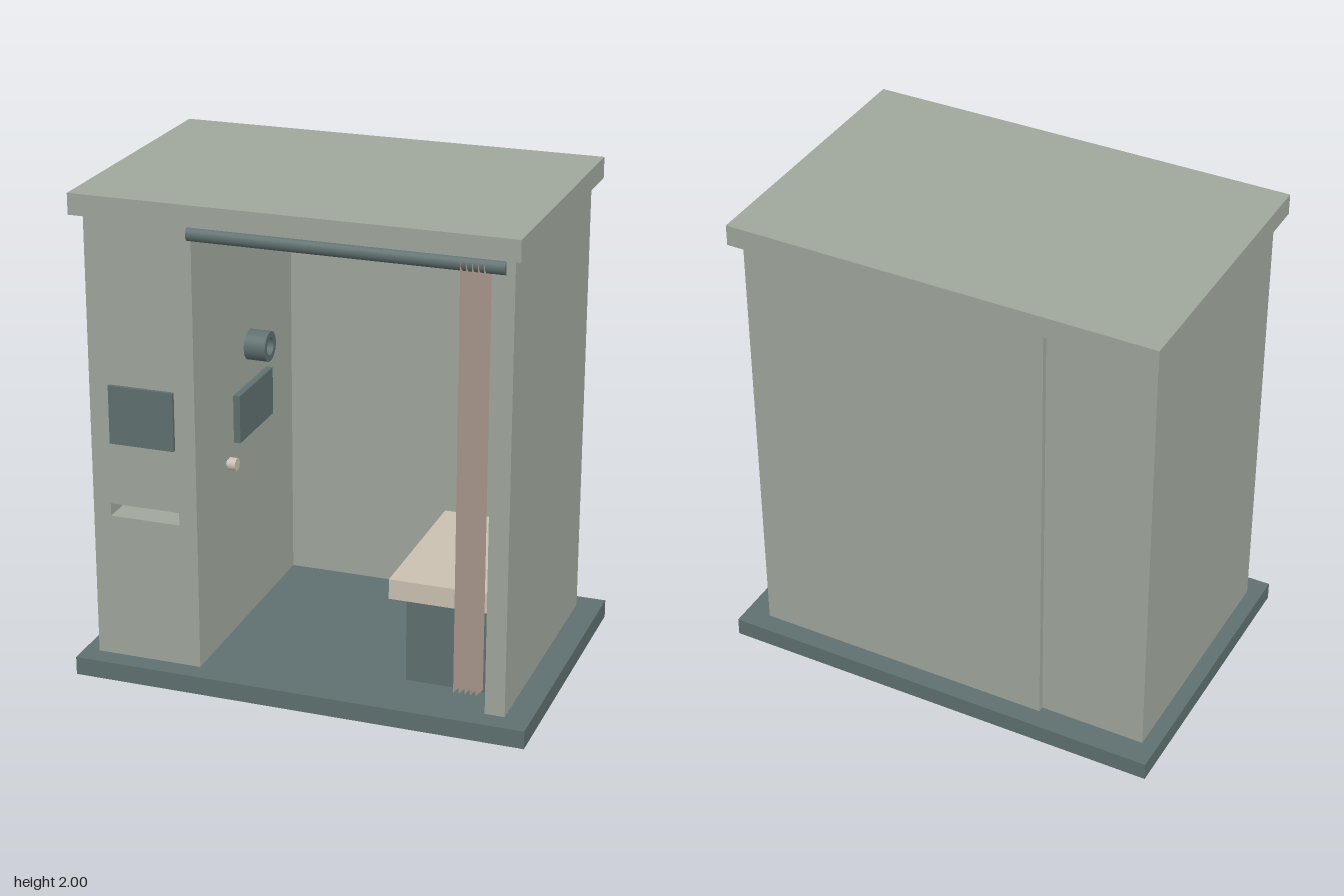
import * as THREE from 'three';

const mat = (name, color, extra = {}) => Object.assign(new THREE.MeshStandardMaterial({ color, ...extra }), { name });

export function createModel() {
  const booth = new THREE.Group();
  booth.name = 'booth';
  const panel = mat('panelGrey', 0x9fa69b);
  const dark = mat('darkSlate', 0x5f6f6f);
  const cream = mat('cream', 0xc9c0b1);
  const cloth = mat('curtainCloth', 0xb5a398, { side: THREE.DoubleSide, flatShading: true });

  const add = (name, geometry, material) => {
    const mesh = new THREE.Mesh(geometry, material);
    mesh.name = name;
    booth.add(mesh);
    return mesh;
  };
  // Box given by its limits along each axis
  const box = (name, material, x0, x1, y0, y1, z0, z1) => {
    const mesh = add(name, new THREE.BoxGeometry(x1 - x0, y1 - y0, z1 - z0), material);
    mesh.position.set((x0 + x1) / 2, (y0 + y1) / 2, (z0 + z1) / 2);
    return mesh;
  };
  // Cylinder lying along x
  const rod = (name, material, x0, x1, y, z, r) => {
    const mesh = add(name, new THREE.CylinderGeometry(r, r, x1 - x0, 24), material);
    mesh.rotation.z = -Math.PI / 2;
    mesh.position.set((x0 + x1) / 2, y, z);
    return mesh;
  };

  // Shell
  const bottom = 0.075, top = 1.915, front = 0.53, back = -0.51;
  box('base', dark, -0.933, 0.933, 0, bottom, -0.617, 0.617);
  box('roof', panel, -0.905, 0.865, top, 2, -0.587, 0.587);
  box('sideWall', panel, 0.75, 0.83, bottom, top, back, front);
  box('backWall', panel, -0.43, 0.83, bottom, top, back - 0.025, back);

  // Machine cabinet, with a delivery slot cut into its front
  const slotDepth = 0.15;
  box('cabinet', panel, -0.87, -0.43, bottom, top, back, front - slotDepth);
  const face = new THREE.Shape([[-0.87, bottom], [-0.43, bottom], [-0.43, top], [-0.87, top]]
    .map(([x, y]) => new THREE.Vector2(x, y)));
  face.holes.push(new THREE.Path([[-0.797, 0.677], [-0.797, 0.73], [-0.505, 0.73], [-0.505, 0.677]]
    .map(([x, y]) => new THREE.Vector2(x, y))));
  const cabinetFront = add('cabinetFront',
    new THREE.ExtrudeGeometry(face, { depth: slotDepth, bevelEnabled: false }), panel);
  cabinetFront.position.z = front - slotDepth;
  box('frontDisplay', dark, -0.785, -0.515, 0.99, 1.23, front, front + 0.015);

  // Fittings on the inner cabinet wall
  box('innerScreen', dark, -0.43, -0.402, 0.89, 1.09, -0.22, 0.14);
  const ring = [[0.036, 0], [0.062, 0], [0.062, 0], [0.062, 0.09], [0.062, 0.09],
    [0.036, 0.09], [0.036, 0.09], [0.036, 0]].map(([r, y]) => new THREE.Vector2(r, y));
  const lens = add('cameraTube', new THREE.LatheGeometry(ring, 32), dark);
  lens.rotation.z = -Math.PI / 2;
  lens.position.set(-0.43, 1.248, -0.04);
  rod('buttonStem', cream, -0.43, -0.42, 0.828, 0.21, 0.015);
  rod('button', cream, -0.42, -0.388, 0.828, 0.21, 0.026);

  // Bench with cushion and backrest
  box('benchBase', dark, 0.375, 0.75, bottom, 0.42, -0.34, 0.36);
  box('benchCushion', cream, 0.305, 0.75, 0.42, 0.503, -0.35, 0.37);
  box('backrest', cream, 0.725, 0.75, 0.503, 0.98, -0.35, 0.37);

  // Curtain rail and gathered curtain: a pleated sheet
  rod('curtainRail', dark, -0.445, 0.795, 1.87, 0.518, 0.029);
  const pleats = 10, height = 1.725;
  const sheet = new THREE.PlaneGeometry(0.112, height, pleats, 1);
  const p = sheet.attributes.position;
  for (let i = 0; i < p.count; i++) p.setZ(i, (i % (pleats + 1)) % 2 ? 0.03 : -0.03);
  sheet.computeVertexNormals();
  const curtain = add('curtain', sheet, cloth);
  curtain.position.set(0.674, 0.155 + height / 2, 0.522);

  return booth;
}
